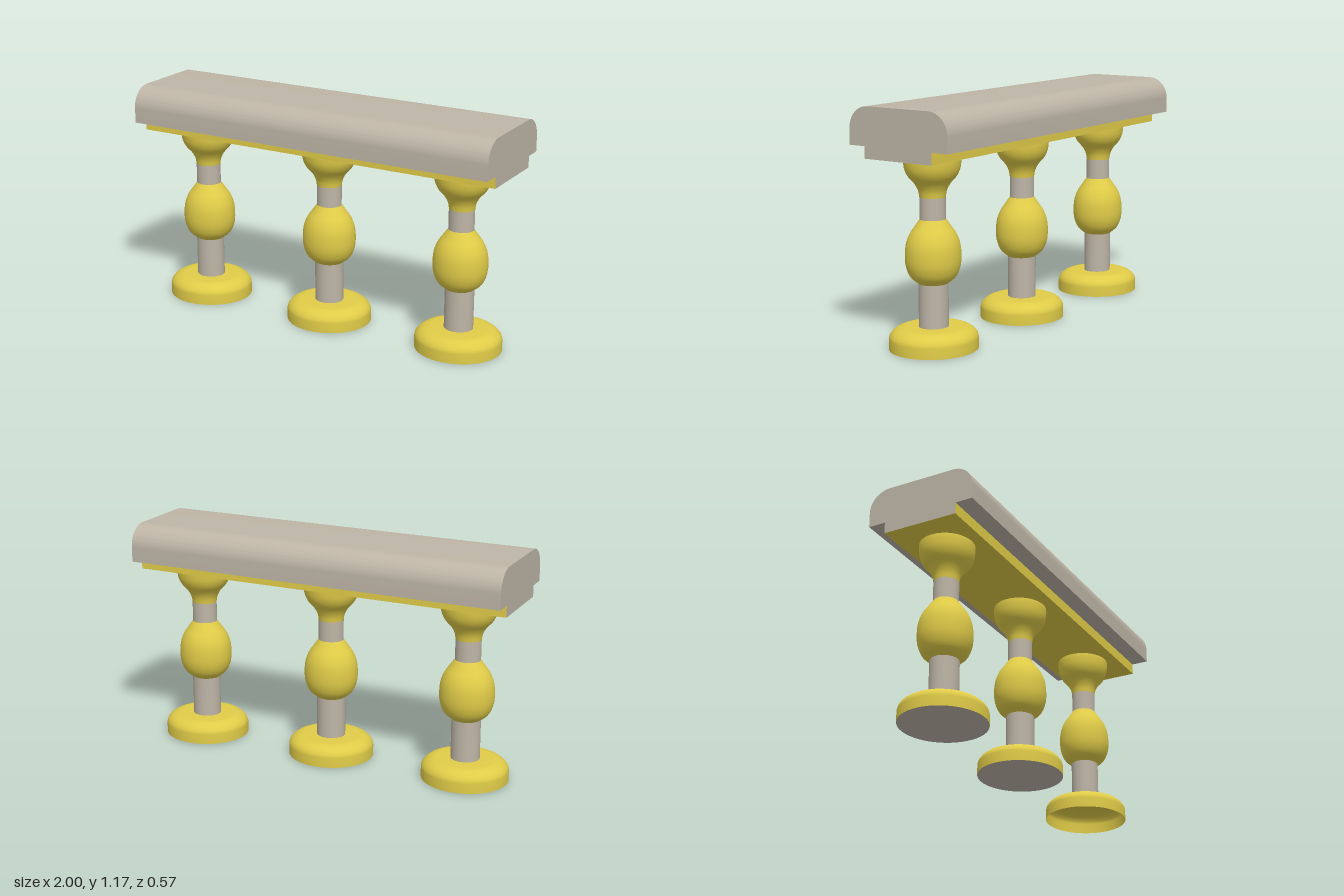
import * as THREE from 'three';
import { toCreasedNormals } from 'three/addons/utils/BufferGeometryUtils.js';

const yellow = new THREE.MeshStandardMaterial({ color: 0xe0cc48, side: THREE.DoubleSide });
yellow.name = 'yellow';
const stone = new THREE.MeshStandardMaterial({ color: 0xbeb5a6, side: THREE.DoubleSide });
stone.name = 'warm grey';

function add(parent, name, geometry, material) {
  const mesh = new THREE.Mesh(geometry, material);
  mesh.name = name;
  parent.add(mesh);
  return mesh;
}

// Turned part: points are [radius, height]
function turned(points) {
  return new THREE.LatheGeometry(points.map(([r, y]) => new THREE.Vector2(r, y)), 48);
}

// Turned part with a smooth curve through the points
function turnedCurve(points, divisions = 24) {
  const curve = new THREE.SplineCurve(points.map(([r, y]) => new THREE.Vector2(r, y)));
  return new THREE.LatheGeometry(curve.getPoints(divisions), 48);
}

function baluster(hasBottom) {
  const g = new THREE.Group();
  g.name = 'baluster';
  // Round foot with softened upper edge
  add(g, 'foot', turned([[0.21, 0], [0.21, 0.052], [0.206, 0.068], [0.195, 0.083],
    [0.178, 0.096], [0.158, 0.104], [0.14, 0.107], [0.07, 0.107]]), yellow);
  if (hasBottom) {
    const disc = new THREE.CircleGeometry(0.21, 48).rotateX(Math.PI / 2);
    add(g, 'footBottom', disc, stone);
  }
  add(g, 'lowerShaft', turned([[0.07, 0.107], [0.07, 0.318]]), stone);
  add(g, 'bulb', turnedCurve([[0.07, 0.317], [0.107, 0.35], [0.127, 0.4], [0.131, 0.455],
    [0.125, 0.51], [0.108, 0.555], [0.085, 0.59], [0.061, 0.625]]), yellow);
  add(g, 'upperShaft', turned([[0.061, 0.624], [0.061, 0.73]]), stone);
  add(g, 'flaredNeck', turnedCurve([[0.061, 0.73], [0.067, 0.762], [0.084, 0.795],
    [0.112, 0.828], [0.128, 0.862], [0.134, 0.9], [0.134, 0.926]]), yellow);
  // Slightly wider along the rail than across it
  g.scale.x = 1.056;
  return g;
}

// Handrail: rounded upper corners, extruded along x
function railGeometry() {
  const w = 0.283, bottom = 0.983, top = 1.168, r = 0.108;
  const s = new THREE.Shape();
  s.moveTo(-w, bottom);
  s.lineTo(w, bottom);
  s.lineTo(w, top - r);
  s.absarc(w - r, top - r, r, 0, Math.PI / 2, false);
  s.lineTo(-w + r, top);
  s.absarc(-w + r, top - r, r, Math.PI / 2, Math.PI, false);
  s.closePath();
  const geo = new THREE.ExtrudeGeometry(s, { depth: 2, bevelEnabled: false, curveSegments: 12 });
  geo.translate(0, 0, -1).rotateY(Math.PI / 2);
  return toCreasedNormals(geo, 0.6);
}

export function createModel() {
  const model = new THREE.Group();
  model.name = 'balustrade';

  add(model, 'handrail', railGeometry(), stone);

  // Yellow strip under the rail, with grey ends
  const strip = new THREE.BoxGeometry(2, 0.058, 0.388);
  add(model, 'underStrip', strip, [stone, stone, yellow, yellow, yellow, yellow])
    .position.y = 0.954;

  // The last foot is open underneath
  for (const i of [-1, 0, 1]) {
    const b = baluster(i < 1);
    b.position.x = i * 0.745;
    model.add(b);
  }
  return model;
}
